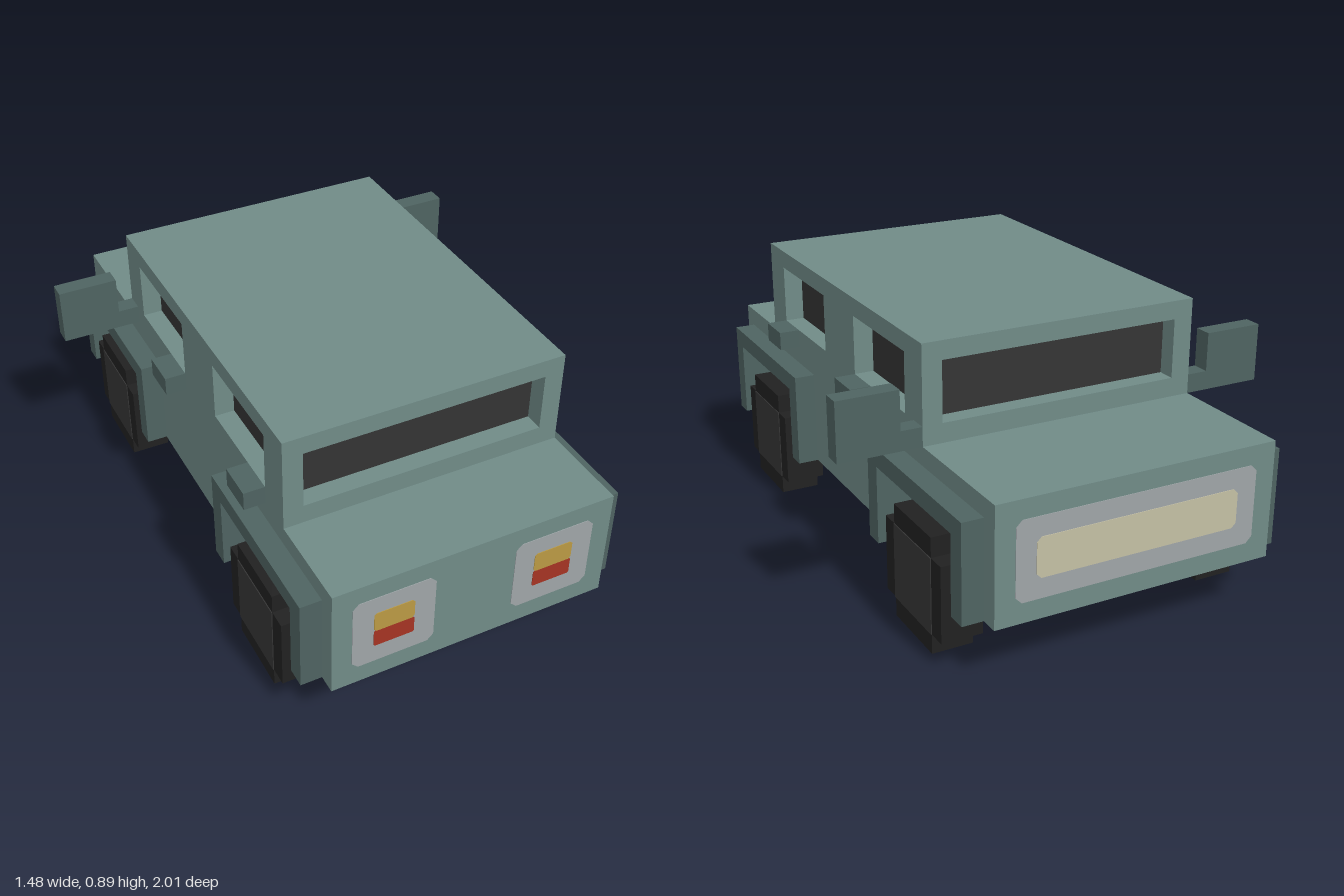
import * as THREE from 'three';

const paint = (name, color) => {
  const m = new THREE.MeshStandardMaterial({ color });
  m.name = name;
  return m;
};

export function createModel() {
  const car = new THREE.Group();
  car.name = 'car';
  const body = paint('body teal', 0x708b87);
  const trim = paint('dark teal trim', 0x4e6361);
  const glass = paint('dark glass', 0x343434);
  const rubber = paint('tyre black', 0x212121);
  const hub = paint('hub grey', 0x353535);
  const panel = paint('panel grey', 0x9fa5a8);
  const amber = paint('amber', 0xba9a44);
  const red = paint('red', 0xa53423);
  const cream = paint('cream', 0xc4c0a4);

  const add = (name, geo, mat) => {
    const mesh = new THREE.Mesh(geo, mat);
    mesh.name = name;
    car.add(mesh);
    return mesh;
  };
  // Box given by its lower and upper limits on each axis
  const box = (name, mat, x0, x1, y0, y1, z0, z1) =>
    add(name, new THREE.BoxGeometry(Math.abs(x1 - x0), y1 - y0, z1 - z0), mat)
      .position.set((x0 + x1) / 2, (y0 + y1) / 2, (z0 + z1) / 2);
  const points = (list) => list.map(([a, b]) => new THREE.Vector2(a, b));
  // Side profile in (z, y), extruded between x0 and x1, on the given side
  const profile = (name, mat, list, holes, side, x0, x1) => {
    const shape = new THREE.Shape(points(list));
    for (const h of holes) shape.holes.push(new THREE.Path(points(h)));
    const geo = new THREE.ExtrudeGeometry(shape, { depth: x1 - x0, bevelEnabled: false });
    geo.rotateY(-Math.PI / 2);
    geo.translate(side > 0 ? x1 : -x0, 0, 0);
    add(name, geo, mat);
  };
  // Thin plate with clipped corners on the front (dir 1) or back (dir -1)
  const plate = (name, mat, x0, x1, y0, y1, c, lift, dir) => {
    const geo = new THREE.ExtrudeGeometry(new THREE.Shape(points([
      [x0 + c, y0], [x1 - c, y0], [x1, y0 + c], [x1, y1 - c],
      [x1 - c, y1], [x0 + c, y1], [x0, y1 - c], [x0, y0 + c],
    ])), { depth: 0.002, bevelEnabled: false });
    geo.translate(0, 0, 1 - 0.002 + lift);
    if (dir < 0) geo.rotateY(Math.PI);
    add(name, geo, mat);
  };

  // Body core, with glass set one step inside the cabin walls
  const I = 0.405, O = 0.47, F = 0.54;
  box('lowerBody', body, -I, I, 0.19, 0.572, -1, 1);
  box('windowSill', body, -I, I, 0.572, 0.635, -0.56, 0.69);
  box('roof', body, -I, I, 0.83, 0.89, -0.56, 0.69);
  box('cabinGlass', glass, -I, I, 0.635, 0.83, -0.5, 0.627);

  const windowHole = (z0, z1) => [[z0, 0.635], [z0, 0.83], [z1, 0.83], [z1, 0.635]];

  for (const side of [1, -1]) {
    // Side wall with window openings and wheel cut-outs
    profile('sideWall', body, [
      [-1, 0.19], [-0.94, 0.19], [-0.94, 0.51], [-0.31, 0.51], [-0.31, 0.19],
      [0.31, 0.19], [0.31, 0.51], [0.94, 0.51], [0.94, 0.19], [1, 0.19],
      [1, 0.572], [0.69, 0.572], [0.69, 0.89], [-0.56, 0.89], [-0.56, 0.572], [-1, 0.572],
    ], [windowHole(0.19, 0.565), windowHole(-0.44, -0.06)], side, I, O);

    // Door handles and wing mirror
    box('handle', trim, side * O, side * F, 0.572, 0.635, 0.44, 0.565);
    box('handle', trim, side * O, side * F, 0.572, 0.635, -0.185, -0.06);
    box('mirrorArm', trim, side * O, side * F, 0.572, 0.635, -0.56, -0.5);
    box('mirror', trim, side * F, side * 0.74, 0.572, 0.763, -0.56, -0.5);

    for (const z of [0.625, -0.625]) {
      // Wheel arch and the wall behind the wheel
      profile('wheelArch', trim, [
        [z - 0.315, 0.19], [z - 0.25, 0.19], [z - 0.25, 0.45], [z + 0.25, 0.45],
        [z + 0.25, 0.19], [z + 0.315, 0.19], [z + 0.315, 0.51], [z - 0.315, 0.51],
      ], [], side, I, F);
      box('wheelWell', trim, side * I, side * (I + 0.004), 0.19, 0.45, z - 0.25, z + 0.25);

      // Stepped tyre and hub
      const a = 0.125, b = 0.187, y = 0.19;
      profile('tyre', rubber, [
        [z - a, y - 0.19], [z + a, y - 0.19], [z + a, y - a], [z + b, y - a],
        [z + b, y + a], [z + a, y + a], [z + a, y + 0.19], [z - a, y + 0.19],
        [z - a, y + a], [z - b, y + a], [z - b, y - a], [z - a, y - a],
      ], [], side, I, F);
      box('hub', hub, side * F, side * (F + 0.003), y - a, y + a, z - a, z + a);
    }

    // Front lamps
    const c = side * 0.27;
    plate('lampPanel', panel, c - 0.135, c + 0.135, 0.255, 0.51, 0.02, 0.002, 1);
    plate('amberLamp', amber, c - 0.066, c + 0.066, 0.38, 0.45, 0.008, 0.004, 1);
    plate('redLamp', red, c - 0.066, c + 0.066, 0.32, 0.38, 0.004, 0.004, 1);
  }

  // Rear light bar
  plate('rearPanel', panel, -0.405, 0.405, 0.255, 0.51, 0.02, 0.002, -1);
  plate('rearLight', cream, -0.34, 0.34, 0.32, 0.447, 0.015, 0.004, -1);

  return car;
}
